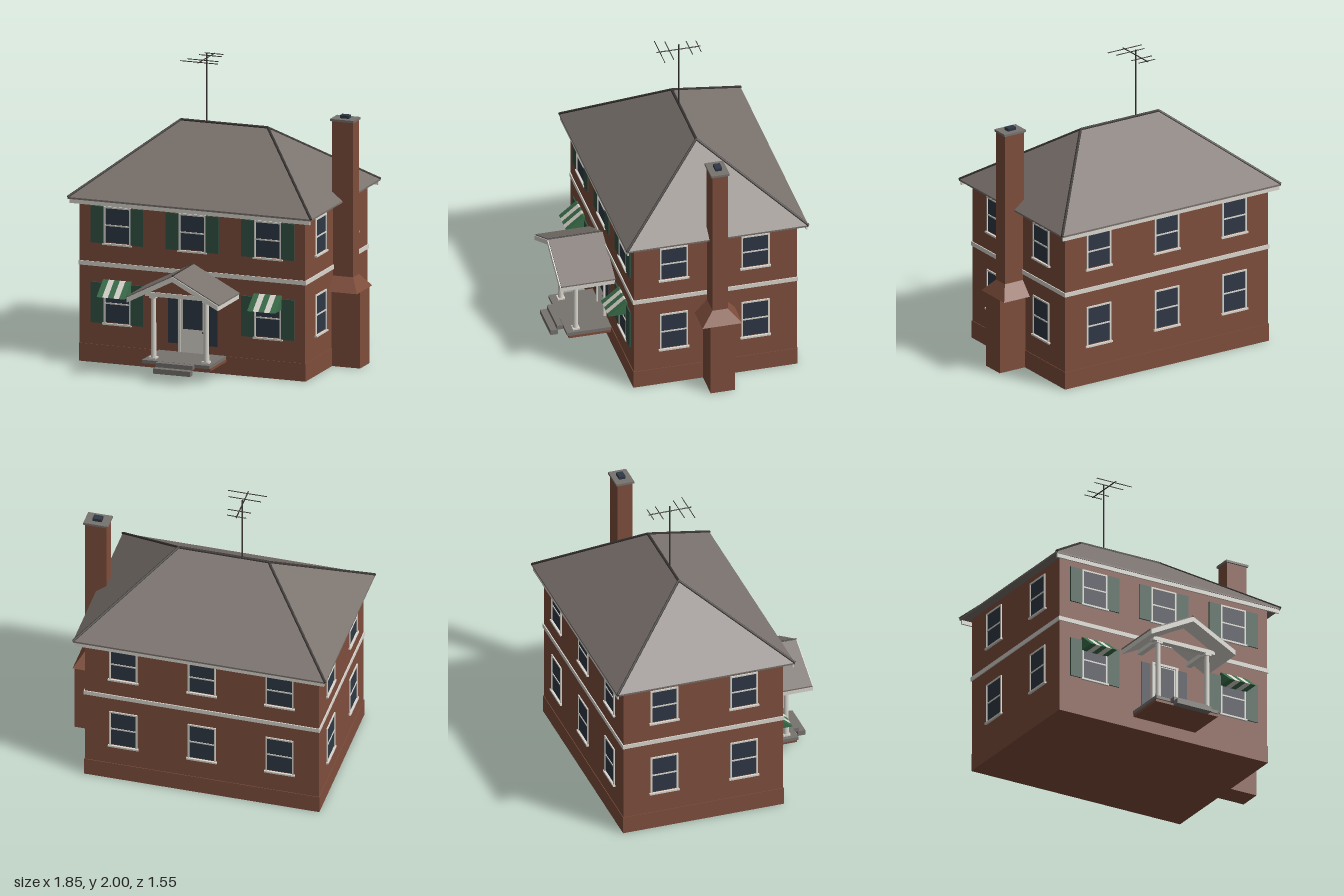
import * as THREE from 'three';

const mat = (name, color) => Object.assign(new THREE.MeshStandardMaterial({ color }), { name });
const M = {
  brick: mat('brick', 0x7f4e3c),
  trim: mat('white trim', 0xdbd8d0),
  roof: mat('roof shingle', 0x7a726d),
  dark: mat('dark metal', 0x3b3735),
  glass: mat('window glass', 0x2f3845),
  shutter: mat('shutter green', 0x345345),
  awning: mat('awning green', 0x3a6e4a),
  stone: mat('step stone', 0x77736f),
};

const CX = -0.07, CZ = -0.16;            // house centre
const X0 = -0.86, X1 = 0.72, Z0 = -0.71, Z1 = 0.39;

function add(parent, name, geo, material) {
  const m = new THREE.Mesh(geo, material);
  m.name = name;
  parent.add(m);
  return m;
}

// box from min/max limits
function box(parent, name, material, x0, x1, y0, y1, z0, z1) {
  const m = add(parent, name, new THREE.BoxGeometry(x1 - x0, y1 - y0, z1 - z0), material);
  m.position.set((x0 + x1) / 2, (y0 + y1) / 2, (z0 + z1) / 2);
  return m;
}

// solid between two level rectangles [x0, x1, z0, z1, y]
function loft(parent, name, material, low, high) {
  const loop = ([x0, x1, z0, z1, y]) => [[x0, y, z1], [x1, y, z1], [x1, y, z0], [x0, y, z0]];
  const a = loop(low), b = loop(high), pos = [];
  const quad = (p, q, r, s) => pos.push(...p, ...q, ...r, ...p, ...r, ...s);
  for (let i = 0; i < 4; i++) quad(a[i], a[(i + 1) % 4], b[(i + 1) % 4], b[i]);
  quad(...b);
  quad(a[3], a[2], a[1], a[0]);
  const g = new THREE.BufferGeometry();
  g.setAttribute('position', new THREE.Float32BufferAttribute(pos, 3));
  g.computeVertexNormals();
  return add(parent, name, g, material);
}

// straight rod between two points
function rod(parent, name, material, from, to, r, sides = 6) {
  const a = new THREE.Vector3(...from), b = new THREE.Vector3(...to);
  const d = b.clone().sub(a);
  const m = add(parent, name, new THREE.CylinderGeometry(r, r, d.length(), sides), material);
  m.position.copy(a).add(b).multiplyScalar(0.5);
  m.quaternion.setFromUnitVectors(new THREE.Vector3(0, 1, 0), d.normalize());
  return m;
}

// polygon in x, y extruded from z0 to z1
function prism(parent, name, material, pts, z0, z1) {
  const shape = new THREE.Shape(pts.map(p => new THREE.Vector2(...p)));
  const g = new THREE.ExtrudeGeometry(shape, { depth: z1 - z0, bevelEnabled: false });
  g.translate(0, 0, z0);
  return add(parent, name, g, material);
}

// sash window facing +z, origin at the middle of its bottom edge on the wall
function sashWindow(h, shutters) {
  const g = new THREE.Group(), w = 0.095, b = 0.011;
  g.name = 'sashWindow';
  box(g, 'pane', M.glass, -w + b, w - b, b, h - b, -0.002, 0.003);
  for (const s of [-1, 1]) {
    const x = s * (w - b / 2);
    box(g, 'jamb', M.trim, x - b / 2, x + b / 2, 0, h, -0.002, 0.008);
    if (shutters) {
      const c = s * (w + 0.045);
      box(g, 'shutter', M.shutter, c - 0.045, c + 0.045, 0.002, h - 0.002, -0.002, 0.009);
    }
  }
  box(g, 'head', M.trim, -w, w, h - b, h, -0.002, 0.008);
  box(g, 'meetingRail', M.trim, -w, w, h / 2 - 0.005, h / 2 + 0.005, -0.002, 0.007);
  box(g, 'sill', M.trim, -w - 0.008, w + 0.008, -0.007, 0.005, -0.002, 0.015);
  return g;
}

function buildWindows(house) {
  const place = (x, z, turn, front) => {
    for (const [y, h] of [[0.265, 0.275], [0.8, 0.25]]) {
      if (front && x === CX && y < 0.5) continue;   // the door is here
      const win = sashWindow(h, front);
      win.position.set(x, y, z);
      win.rotation.y = turn;
      house.add(win);
    }
  };
  for (const x of [-0.595, CX, 0.46]) {
    place(x, Z1, 0, true);
    place(x, Z0, Math.PI, false);
  }
  for (const z of [0.12, -0.43]) {
    place(X1, z, Math.PI / 2, false);
    place(X0, z, -Math.PI / 2, false);
  }
}

function buildRoof(house) {
  const e = [-0.92, 0.785, -0.772, 0.452], ridge = [-0.37, 0.24], top = 1.535;
  loft(house, 'eaves', M.roof, [...e, 1.092], [...e, 1.104]);
  loft(house, 'hipRoof', M.roof, [...e, 1.104], [...ridge, CZ - 0.001, CZ + 0.001, top]);
  rod(house, 'ridgeCap', M.dark, [ridge[0], top, CZ], [ridge[1], top, CZ], 0.01);
  for (const i of [0, 1])
    for (const z of [e[2], e[3]])
      rod(house, 'hipCap', M.dark, [e[i], 1.104, z], [ridge[i], top, CZ], 0.009);
  for (const z of [-0.765, 0.44])
    box(house, 'fascia', M.trim, -0.91, 0.775, 1.065, 1.094, z - 0.003, z + 0.008);
}

function buildChimney(house) {
  const g = new THREE.Group();
  g.name = 'chimney';
  house.add(g);
  box(g, 'chimneyBase', M.brick, 0.7, 0.92, 0, 0.51, -0.238, -0.075);
  loft(g, 'chimneyShoulder', M.brick, [0.7, 0.92, -0.29, -0.02, 0.51], [0.712, 0.86, -0.207, -0.103, 0.6]);
  box(g, 'chimneyStack', M.brick, 0.712, 0.86, 0.6, 1.635, -0.207, -0.103);
  box(g, 'chimneyCap', M.stone, 0.702, 0.868, 1.635, 1.65, -0.217, -0.093);
  box(g, 'flue', M.glass, 0.754, 0.816, 1.65, 1.67, -0.18, -0.135);
}

function buildAntenna(house) {
  const g = new THREE.Group(), x = -0.19, y = 1.963;
  g.name = 'antenna';
  house.add(g);
  rod(g, 'mast', M.dark, [x, 1.53, CZ], [x, 2, CZ], 0.005);
  rod(g, 'boom', M.dark, [x, y, -0.305], [x, y, -0.01], 0.004);
  for (const [z, w] of [[-0.292, 0.065], [-0.23, 0.08], [-0.095, 0.11], [-0.03, 0.132]])
    rod(g, 'element', M.dark, [x - w, y, z], [x + w, y, z], 0.003);
}

function buildAwning(house, cx) {
  const w = 0.0392;
  for (let i = 0; i < 5; i++) {
    const x0 = cx + (i - 2.5) * w;
    loft(house, 'awningStripe', i % 2 ? M.trim : M.awning,
      [x0, x0 + w, Z1, 0.515, 0.468], [x0, x0 + w, Z1, Z1 + 0.01, 0.56]);
  }
}

function buildPorch(house) {
  const g = new THREE.Group(), c = -0.065;
  g.name = 'porch';
  house.add(g);
  // floor and steps
  box(g, 'porchBase', M.brick, c - 0.235, c + 0.235, 0.083, 0.1, Z1, 0.68);
  box(g, 'porchFloor', M.stone, c - 0.24, c + 0.232, 0.1, 0.122, Z1, 0.69);
  box(g, 'upperStep', M.stone, c - 0.13, c + 0.13, 0.092, 0.121, 0.69, 0.73);
  box(g, 'lowerStep', M.stone, c - 0.13, c + 0.13, 0.058, 0.092, 0.725, 0.775);
  // gable roof on white boards
  const chevron = (w, eave, apex, t) => [[c - w, eave], [c - w, eave - t], [c, apex - t],
    [c + w, eave - t], [c + w, eave], [c, apex]].reverse();
  prism(g, 'porchRoofBoards', M.trim, chevron(0.32, 0.547, 0.713, 0.034), Z1, 0.762);
  prism(g, 'porchRoof', M.roof, chevron(0.325, 0.553, 0.721, 0.009), Z1, 0.755);
  rod(g, 'porchRidgeCap', M.dark, [c, 0.719, Z1], [c, 0.719, 0.757], 0.006);
  prism(g, 'pediment', M.brick, [[c - 0.21, 0.565], [c + 0.21, 0.565], [c, 0.685]], 0.605, 0.635);
  box(g, 'frontBeam', M.trim, c - 0.235, c + 0.235, 0.54, 0.568, 0.6, 0.645);
  for (const s of [-1, 1]) {
    const x = c + s * 0.185;
    box(g, 'sideBeam', M.trim, x - 0.018, x + 0.018, 0.54, 0.568, Z1, 0.6);
    const col = add(g, 'column', new THREE.CylinderGeometry(0.016, 0.019, 0.41, 12), M.trim);
    col.position.set(x, 0.331, 0.622);
    box(g, 'columnBase', M.trim, x - 0.024, x + 0.024, 0.122, 0.134, 0.598, 0.646);
    box(g, 'capital', M.trim, x - 0.022, x + 0.022, 0.527, 0.541, 0.6, 0.644);
    // side light and door jamb
    const l = c + s * 0.14;
    box(g, 'sideLight', M.glass, l - 0.032, l + 0.032, 0.178, 0.495, Z1, Z1 + 0.008);
    const j = c + s * 0.09;
    box(g, 'doorJamb', M.trim, j - 0.008, j + 0.008, 0.122, 0.5, Z1, Z1 + 0.018);
  }
  box(g, 'doorHead', M.trim, c - 0.098, c + 0.098, 0.492, 0.508, Z1, Z1 + 0.018);
  box(g, 'door', M.trim, c - 0.082, c + 0.082, 0.122, 0.492, Z1, Z1 + 0.008);
  box(g, 'doorGlass', M.glass, c - 0.068, c + 0.068, 0.28, 0.484, Z1 + 0.006, Z1 + 0.011);
  const knob = add(g, 'doorKnob', new THREE.SphereGeometry(0.006, 8, 6), M.dark);
  knob.position.set(c + 0.072, 0.265, Z1 + 0.013);
}

export function createModel() {
  const house = new THREE.Group();
  house.name = 'house';
  // brick body, plinth and belt course
  box(house, 'walls', M.brick, X0, X1, 0, 1.1, Z0, Z1);
  box(house, 'plinth', M.brick, X0 - 0.004, X1 + 0.004, 0, 0.12, Z0 - 0.004, Z1 + 0.004);
  box(house, 'beltCourse', M.trim, X0 - 0.007, X1 + 0.007, 0.645, 0.674, Z0 - 0.007, Z1 + 0.007);
  buildWindows(house);
  buildRoof(house);
  buildChimney(house);
  buildAntenna(house);
  buildAwning(house, -0.595);
  buildAwning(house, 0.46);
  buildPorch(house);
  return house;
}
